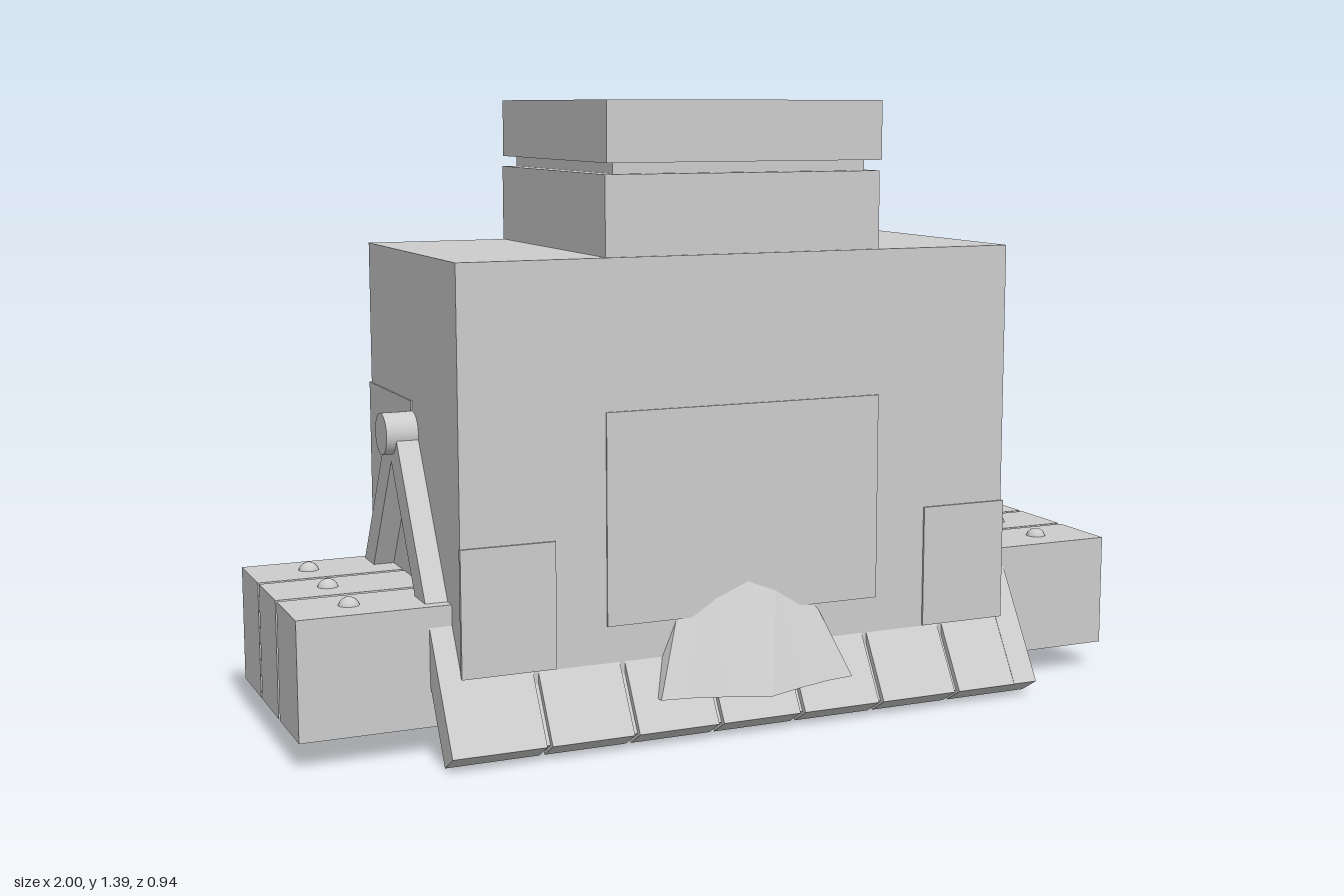
import * as THREE from 'three';

const stone = new THREE.MeshStandardMaterial({ color: 0xcccccc });
stone.name = 'stone grey';

function add(parent, name, geometry, x = 0, y = 0, z = 0) {
  const mesh = new THREE.Mesh(geometry, stone);
  mesh.name = name;
  mesh.position.set(x, y, z);
  parent.add(mesh);
  return mesh;
}

// Box given by its extents along each axis
function block(parent, name, [x0, x1], [y0, y1], [z0, z1]) {
  return add(parent, name, new THREE.BoxGeometry(x1 - x0, y1 - y0, z1 - z0),
    (x0 + x1) / 2, (y0 + y1) / 2, (z0 + z1) / 2);
}

// Faceted skirt lofted from a low flared edge to a short upper edge on the wall
function skirtGeometry() {
  const low = [[-0.24, 0.3], [-0.235, 0.4], [-0.17, 0.41], [-0.09, 0.435], [0, 0.47],
    [0.09, 0.435], [0.17, 0.41], [0.235, 0.4], [0.24, 0.3]];
  const high = [[-0.18, 0.25], [-0.17, 0.26], [-0.13, 0.275], [-0.075, 0.31], [0, 0.34],
    [0.075, 0.31], [0.13, 0.275], [0.17, 0.26], [0.18, 0.25]];
  const p = [];
  for (let i = 0; i < low.length - 1; i++) {
    const [a, b] = [low[i], low[i + 1]].map(([x, z]) => [x, 0.1, z]);
    const [d, c] = [high[i], high[i + 1]].map(([x, y]) => [x, y, 0.333]);
    p.push(...a, ...b, ...c, ...a, ...c, ...d);
    p.push(0, 0.1, 0.3, ...b, ...a);
  }
  const g = new THREE.BufferGeometry();
  g.setAttribute('position', new THREE.Float32BufferAttribute(p, 3));
  g.computeVertexNormals();
  return g;
}

// Square lid with a narrow groove cut in one side
function lidGeometry() {
  const s = new THREE.Shape();
  s.moveTo(-0.33, -0.335);
  s.lineTo(0.33, -0.335);
  s.lineTo(0.33, -0.182);
  s.lineTo(0.318, -0.178);
  s.lineTo(0.33, -0.172);
  s.lineTo(0.33, 0.335);
  s.lineTo(-0.33, 0.335);
  s.closePath();
  return new THREE.ExtrudeGeometry(s, { depth: 0.132, bevelEnabled: false }).rotateX(-Math.PI / 2);
}

export function createModel() {
  const model = new THREE.Group();
  model.name = 'blockBuilding';

  // Main stacked blocks
  block(model, 'body', [-0.665, 0.662], [0.06, 1.06], [-0.335, 0.335]);
  block(model, 'lowerBack', [-0.668, 0.668], [0.18, 0.73], [-0.344, 0]);
  block(model, 'tower', [-0.332, 0.328], [1.05, 1.235], [-0.335, 0.33]);
  block(model, 'lidNeck', [-0.305, 0.302], [1.23, 1.27], [-0.31, 0.305]);
  add(model, 'lid', lidGeometry(), 0, 1.259, 0);

  // Shallow raised panels on the front
  block(model, 'frontPanel', [-0.335, 0.328], [0.26, 0.73], [0.33, 0.339]);
  for (const s of [-1, 1]) {
    const [inner, outer] = [0.453, 0.666];
    block(model, 'cornerPanel', s < 0 ? [-outer, -inner] : [inner, outer], [0.18, 0.46], [0.33, 0.34]);
  }

  // Thin arch trim on the back
  const arch = new THREE.Shape();
  arch.absarc(0, 0, 0.36, 0.15, Math.PI - 0.15, false);
  arch.absarc(0, 0, 0.29, Math.PI - 0.15, 0.15, true);
  arch.closePath();
  add(model, 'backArch', new THREE.ExtrudeGeometry(arch,
    { depth: 0.004, bevelEnabled: false, curveSegments: 24 }), 0, 0.3, -0.347);

  // Sloping slats, frame legs and flared skirt at the front and the back
  const skirt = skirtGeometry();
  for (const s of [1, -1]) {
    const slope = new THREE.Group();
    slope.name = s > 0 ? 'frontSlope' : 'backSlope';
    slope.position.y = 0.66;
    slope.rotation.x = -s * 0.553;
    model.add(slope);
    for (let i = -3; i <= 3; i++) {
      const x = i * 0.2;
      const x0 = i === -3 ? -0.712 : x - 0.094;
      const x1 = i === 3 ? 0.712 : x + 0.094;
      // End slats stop at the body side so only the legs stand outside it
      block(slope, 'slat', [Math.max(x0, -0.66), Math.min(x1, 0.66)], [-0.752, -0.45], [-0.032, 0.032]);
    }
    block(slope, 'slatBacking', [-0.66, 0.66], [-0.745, -0.45], [-0.03, 0.018]);
    for (const side of [-1, 1]) {
      block(slope, 'frameLeg', side < 0 ? [-0.715, -0.655] : [0.655, 0.715], [-0.752, 0], [-0.033, 0.033]);
    }
    add(model, 'flaredSkirt', skirt).rotation.y = s > 0 ? 0 : Math.PI;
  }

  // Side crates made of three planks, each with a rivet, and the frame hubs
  const rivet = new THREE.SphereGeometry(0.024, 16, 10);
  const hub = new THREE.CylinderGeometry(0.047, 0.047, 0.09, 24).rotateZ(Math.PI / 2);
  for (const s of [-1, 1]) {
    const span = (a, b) => (s < 0 ? [-b, -a] : [a, b]);
    for (const [z0, z1] of [[-0.262, -0.092], [-0.08, 0.083], [0.095, 0.272]]) {
      block(model, 'cratePlank', span(0.64, 1), [0.065, 0.328], [z0, z1]);
      add(model, 'rivet', rivet, s * 0.865, 0.322, (z0 + z1) / 2);
    }
    block(model, 'crateCore', span(0.64, 0.98), [0.08, 0.31], [-0.24, 0.25]);
    add(model, 'frameHub', hub, s * 0.692, 0.66, 0);
  }
  return model;
}
